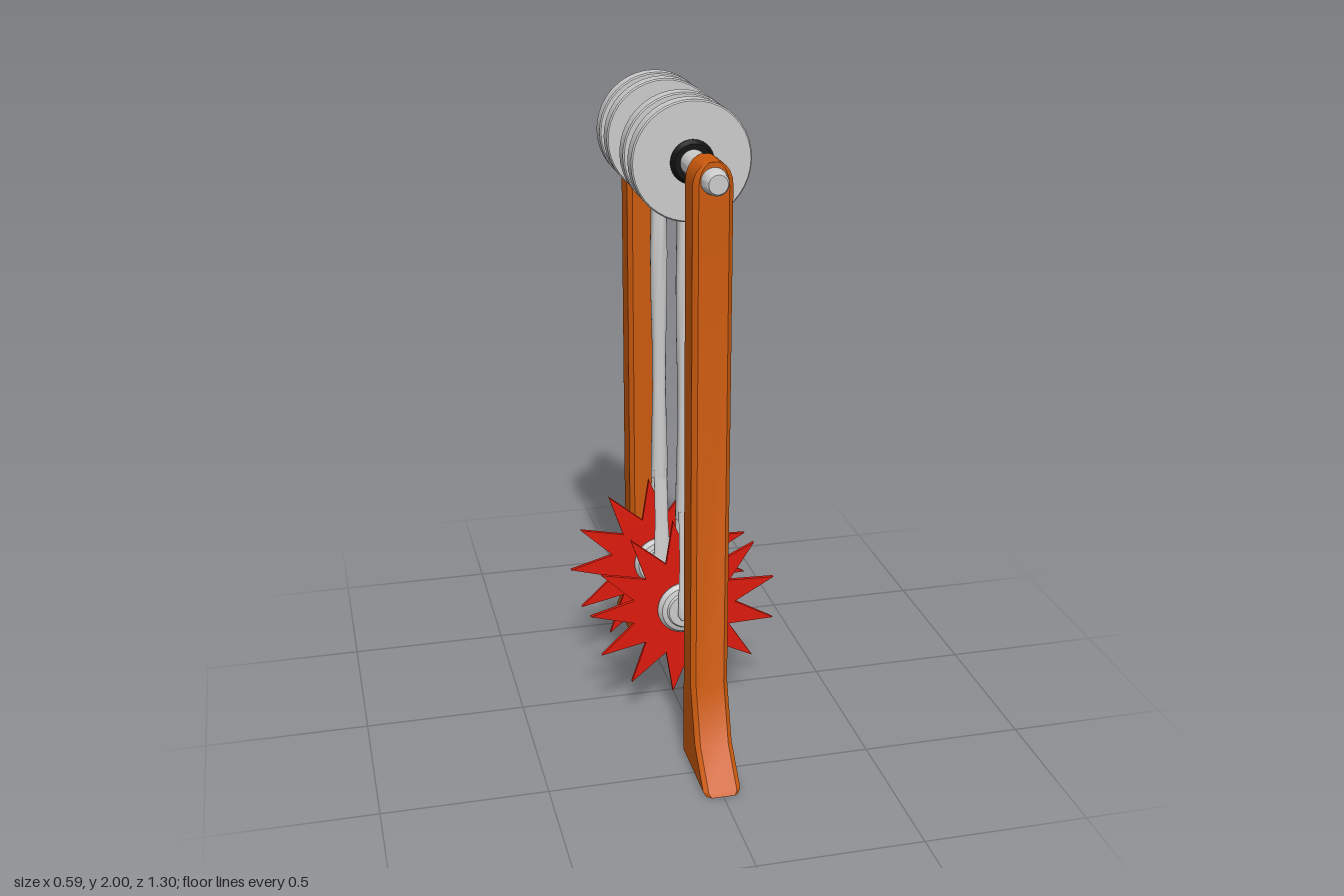
import * as THREE from 'three';
import { toCreasedNormals } from 'three/addons/utils/BufferGeometryUtils.js';

const AXLE_Y = 1.825, BLADE_Y = 0.385;
const grey = new THREE.MeshStandardMaterial({ color: 0xcccccc });
const orange = new THREE.MeshStandardMaterial({ color: 0xcc5a0c });
const red = new THREE.MeshStandardMaterial({ color: 0xdd1a0c });
const black = new THREE.MeshStandardMaterial({ color: 0x111111 });

function add(parent, name, geometry, material, y = 0, z = 0) {
  const mesh = new THREE.Mesh(geometry, material);
  mesh.name = name;
  mesh.position.set(0, y, z);
  parent.add(mesh);
  return mesh;
}

// Solid skin over rings listed from bottom to top, each anticlockwise from above
function loft(rings, crease = 0.5) {
  const n = rings[0].length, pos = [], index = [];
  rings.forEach(r => r.forEach(p => pos.push(...p)));
  for (let k = 0; k < rings.length - 1; k++) {
    for (let i = 0; i < n; i++) {
      const j = (i + 1) % n, a = k * n + i, b = k * n + j;
      index.push(a, b, b + n, a, b + n, a + n);
    }
  }
  const top = (rings.length - 1) * n;
  for (let i = 1; i < n - 1; i++) {
    index.push(0, i + 1, i, top, top + i, top + i + 1);
  }
  const g = new THREE.BufferGeometry();
  g.setAttribute('position', new THREE.Float32BufferAttribute(pos, 3));
  g.setIndex(index);
  return toCreasedNormals(g, crease);
}

// Rectangle with cut corners at height y
function cutRect(y, w, z0, z1, c) {
  return [[w, z1 - c], [w, z0 + c], [w - c, z0], [c - w, z0],
    [-w, z0 + c], [-w, z1 - c], [c - w, z1], [w - c, z1]].map(([x, z]) => [x, y, z]);
}

function ellipse(y, rx, rz, cz = 0, n = 16) {
  return Array.from({ length: n }, (_, i) => {
    const a = i / n * Math.PI * 2;
    return [rx * Math.cos(a), y, cz - rz * Math.sin(a)];
  });
}

// Turned part along z from [radius, z] pairs
function turned(profile, crease = 0.6) {
  const pts = profile.map(([r, z]) => new THREE.Vector2(r, z));
  return toCreasedNormals(new THREE.LatheGeometry(pts, 40).rotateX(Math.PI / 2), crease);
}

// Upright post with flared foot and arched top
function postGeometry() {
  const rows = [[0, 0.05, 0.64], [0.012, 0.057, 0.642], [0.11, 0.057, 0.54],
    [0.29, 0.057, 0.48], [1.81, 0.057, 0.48]];
  const rings = rows.map(([y, w, z]) => cutRect(y, w, 0.37, z, 0.014));
  rings[0].forEach(p => { if (p[2] > 0.6) p[2] += 0.01; });
  for (const a of [0.3, 0.6, 0.9, 1.15, 1.3]) {
    rings.push(cutRect(1.81 + 0.07 * Math.sin(a), 0.057 * Math.cos(a), 0.37, 0.48, 0.014 * Math.cos(a)));
  }
  return loft(rings);
}

// Thin saw star with 13 points
function bladeGeometry() {
  const shape = new THREE.Shape(), n = 13;
  for (let i = 0; i < n * 2; i++) {
    const a = Math.PI + i * Math.PI / n, r = i % 2 ? 0.165 : 0.3;
    const x = r * Math.cos(a), y = r * Math.sin(a);
    if (i) shape.lineTo(x, y); else shape.moveTo(x, y);
  }
  shape.closePath();
  return new THREE.ExtrudeGeometry(shape, { depth: 0.012, bevelEnabled: false }).translate(0, 0, -0.006);
}

// Pulley, hanging arm and blade, centred on z = 0
function pendulum() {
  const g = new THREE.Group();

  // grooved pulley wheel
  const half = [[0.105, 0.028], [0.172, 0.028], [0.176, 0.032], [0.176, 0.078], [0.172, 0.082], [0.04, 0.082]];
  const mirrored = half.map(([r, z]) => [r, -z]).reverse();
  add(g, 'pulleyWheel', turned([...mirrored, ...half]), grey, AXLE_Y);

  // black bearing collar
  add(g, 'bearingCollar', turned([[0.03, -0.097], [0.054, -0.097], [0.064, -0.085],
    [0.064, 0.085], [0.054, 0.097], [0.03, 0.097]]), black, AXLE_Y);

  // waisted arm
  const arm = [[0.69, 0.028, 0.03], [0.78, 0.027, 0.026], [1.0, 0.022, 0.017],
    [1.15, 0.023, 0.02], [1.3, 0.026, 0.027], [1.45, 0.027, 0.029], [1.6, 0.025, 0.024], [1.76, 0.023, 0.02]];
  add(g, 'arm', loft(arm.map(([y, rx, rz]) => ellipse(y, rx, rz)), 1), grey);

  // two fork legs holding the blade
  for (const s of [-1, 1]) {
    const legs = [[0.36, 0.02, 0.008, 0.046], [0.375, 0.03, 0.01, 0.045],
      [0.41, 0.028, 0.009, 0.042], [0.55, 0.022, 0.008, 0.031], [0.72, 0.022, 0.009, 0.017]];
    add(g, s > 0 ? 'frontForkLeg' : 'backForkLeg',
      loft(legs.map(([y, rx, rz, cz]) => ellipse(y, rx, rz, s * cz)), 1), grey);
  }

  // saw blade with stepped hub
  add(g, 'blade', bladeGeometry(), red, BLADE_Y);
  add(g, 'bladeHub', turned([[0, -0.05], [0.022, -0.05], [0.022, -0.034], [0.055, -0.034], [0.06, -0.028],
    [0.075, -0.024], [0.086, -0.01], [0.086, 0.01], [0.075, 0.024], [0.06, 0.028],
    [0.055, 0.034], [0.022, 0.034], [0.022, 0.05], [0, 0.05]]), grey, BLADE_Y);
  return g;
}

export function createModel() {
  const model = new THREE.Group();
  model.name = 'swingingBladeFrame';

  // posts
  const post = postGeometry();
  add(model, 'frontPost', post, orange);
  add(model, 'backPost', post, orange).rotation.y = Math.PI;

  // axle with tapered ends
  add(model, 'axle', turned([[0, -0.524], [0.027, -0.524], [0.033, -0.515], [0.038, -0.485],
    [0.038, 0.485], [0.033, 0.515], [0.027, 0.524], [0, 0.524]]), grey, AXLE_Y);

  // blade pendulums
  for (const [name, z] of [['frontPendulum', 0.153], ['backPendulum', -0.186]]) {
    const p = pendulum();
    p.name = name;
    p.position.z = z;
    model.add(p);
  }
  return model;
}
